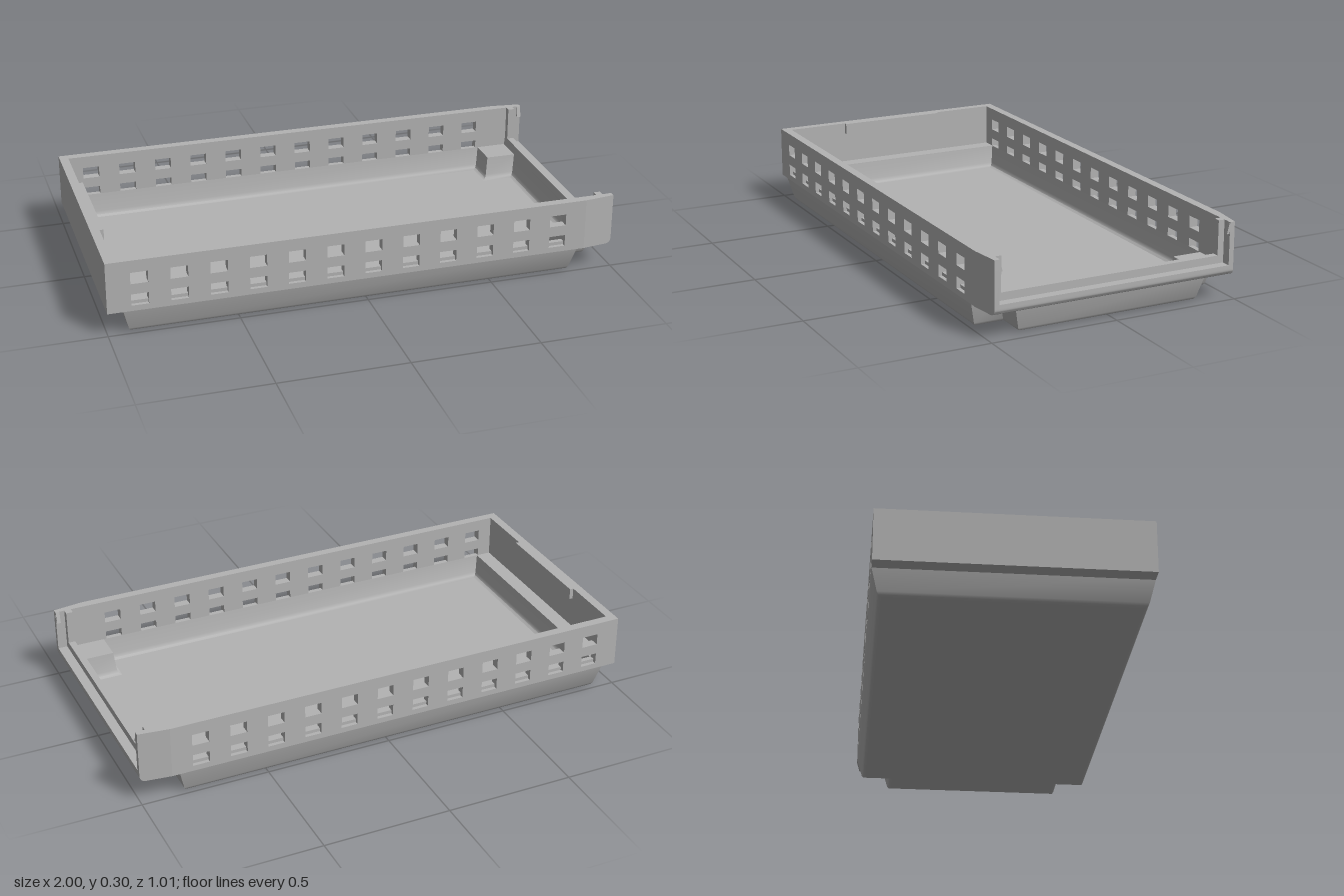
import * as THREE from 'three';
import { toCreasedNormals } from 'three/addons/utils/BufferGeometryUtils.js';

// Plan outline of the basin with two notched corners at the +x end
function outline(o, i = 0) {
  const xl = o.xl + i, xr = o.xr - i, z = o.z - i, nx = o.nx - i, nz = o.nz - i;
  return [[xl, -z], [nx, -z], [nx, -nz], [xr, -nz], [xr, nz], [nx, nz], [nx, z], [xl, z]];
}

const toShape = (pts) => new THREE.Shape(pts.map(([x, y]) => new THREE.Vector2(x, y)));

// Skin between stacked outlines: [height, inset] pairs
function loft(o, levels) {
  const pos = [];
  const rings = levels.map(([y, inset]) => outline(o, inset).map(([x, z]) => [x, y, z]));
  for (let r = 0; r < rings.length - 1; r++) {
    for (let k = 0; k < 8; k++) {
      const n = (k + 1) % 8, lo = rings[r], hi = rings[r + 1];
      pos.push(...lo[k], ...hi[k], ...lo[n], ...lo[n], ...hi[k], ...hi[n]);
    }
  }
  const g = new THREE.BufferGeometry();
  g.setAttribute('position', new THREE.Float32BufferAttribute(pos, 3));
  return toCreasedNormals(g, 0.75);
}

export function createModel() {
  const model = new THREE.Group();
  const grey = new THREE.MeshStandardMaterial({ color: 0xb3b3b3 });
  grey.name = 'grey plastic';

  function add(name, geo, parent = model) {
    const mesh = new THREE.Mesh(geo, grey);
    mesh.name = name;
    parent.add(mesh);
    return mesh;
  }
  function box(name, x0, x1, y0, y1, z0, z1, parent) {
    const mesh = add(name, new THREE.BoxGeometry(x1 - x0, y1 - y0, z1 - z0), parent);
    mesh.position.set((x0 + x1) / 2, (y0 + y1) / 2, (z0 + z1) / 2);
  }
  const extrude = (shape, depth) =>
    new THREE.ExtrudeGeometry(shape, { depth, bevelEnabled: false, curveSegments: 8 });

  const BASE = 0.095, LEDGE = 0.13, TOP = 0.3, IN = 0.47, OUT = 0.505;
  const outer = { xl: -0.94, xr: 0.967, z: OUT, nx: 0.85, nz: 0.39 };
  const inner = { xl: -0.905, xr: 0.932, z: IN, nx: 0.81, nz: 0.352 };

  // Basin: tapered outside, underside, tapered inside and floor
  add('basinOutside', loft(outer, [[0, 0.036], [0.004, 0.027], [0.014, 0.021], [BASE, 0]]));
  add('basinUnderside', new THREE.ShapeGeometry(toShape(outline(outer, 0.036))).rotateX(Math.PI / 2));
  add('basinInside', loft(inner, [[LEDGE, 0], [0.055, 0.008], [0.041, 0.013], [0.035, 0.024]]));
  const floor = add('basinFloor', new THREE.ShapeGeometry(toShape(outline(inner, 0.024))).rotateX(-Math.PI / 2));
  floor.position.y = 0.035;

  // Ledge around the basin opening, also roofing the corner notches
  const ledgeShape = toShape([[-0.98, -0.49], [0.94, -0.49], [0.94, 0.49], [-0.98, 0.49]]);
  ledgeShape.holes.push(toShape(outline(inner)));
  const ledge = add('ledge', extrude(ledgeShape, LEDGE - BASE).rotateX(-Math.PI / 2));
  ledge.position.y = BASE;

  // Closed end wall with a grip lip
  box('endWall', -1, -0.965, BASE, TOP, -IN, IN);
  box('gripLip', -0.965, -0.95, 0.255, TOP, -0.222, 0.222);

  // Stepped sill across the open end, with a rounded lower edge
  const sill = new THREE.Shape();
  sill.moveTo(0.932, BASE);
  sill.lineTo(0.975, BASE);
  sill.quadraticCurveTo(1, BASE, 1, BASE + 0.025);
  sill.lineTo(1, 0.135);
  sill.lineTo(0.963, 0.135);
  sill.lineTo(0.963, 0.165);
  sill.lineTo(0.936, 0.165);
  sill.lineTo(0.932, LEDGE);
  const sillGeo = extrude(sill, 2 * IN + 0.01).translate(0, 0, -IN - 0.005);
  add('endSill', toCreasedNormals(sillGeo, 0.6));

  // Side wall with two rows of rectangular windows
  const BEND = 0.88;
  const wall = toShape([[-1, BASE], [BEND, BASE], [BEND, TOP], [-1, TOP]]);
  for (let c = 0; c < 12; c++) {
    for (const y of [0.14, 0.228]) {
      const x = -0.876 + c * 0.1492, w = 0.033, h = 0.023;
      wall.holes.push(toShape([[x - w, y - h], [x - w, y + h], [x + w, y + h], [x + w, y - h]]));
    }
  }
  const wallGeo = extrude(wall, OUT - IN).translate(0, 0, IN);

  // Wall tip: thins toward the open end and has a rounded lower corner
  const tip = new THREE.Shape();
  tip.moveTo(BEND, BASE);
  tip.lineTo(0.975, BASE);
  tip.quadraticCurveTo(1, BASE, 1, BASE + 0.025);
  tip.lineTo(1, TOP);
  tip.lineTo(BEND, TOP);
  const tipGeo = extrude(tip, OUT - IN).translate(0, 0, IN);
  const p = tipGeo.attributes.position;
  for (let i = 0; i < p.count; i++) {
    if (p.getZ(i) > 0.49) p.setZ(i, OUT - 0.015 * (p.getX(i) - BEND) / (1 - BEND));
  }
  tipGeo.computeVertexNormals();
  const tipSmooth = toCreasedNormals(tipGeo, 0.6);

  // Wedge clip at the top of the open end, drawn in z-y and extruded along x
  const clip = toShape([[-0.476, 0.255], [-0.458, 0.255], [-0.469, TOP], [-0.476, TOP]]);
  const clipGeo = extrude(clip, 0.015).rotateY(Math.PI / 2).translate(0.984, 0, 0);

  // Both sides share the same parts, turned over by mirrored geometry
  const mirrorZ = (geo) => {
    const g = geo.index ? geo.toNonIndexed() : geo.clone();
    g.scale(1, 1, -1);
    for (const a of Object.values(g.attributes)) {
      const n = a.itemSize;
      for (let i = 0; i < a.count; i += 3) {
        for (let k = 0; k < n; k++) {
          const t = a.array[(i + 1) * n + k];
          a.array[(i + 1) * n + k] = a.array[(i + 2) * n + k];
          a.array[(i + 2) * n + k] = t;
        }
      }
    }
    return g;
  };
  for (const s of [1, -1]) {
    const side = new THREE.Group();
    side.name = s > 0 ? 'frontSide' : 'backSide';
    model.add(side);
    const turn = (geo) => (s > 0 ? geo : mirrorZ(geo));
    add('windowWall', turn(wallGeo), side);
    add('wallTip', turn(tipSmooth), side);
    add('snapClip', turn(clipGeo), side);
    const [z0, z1] = s > 0 ? [0.445, IN + 0.005] : [-IN - 0.005, -0.445];
    box('endPost', 0.936, 0.963, LEDGE, TOP, z0, z1, side);
  }
  return model;
}
